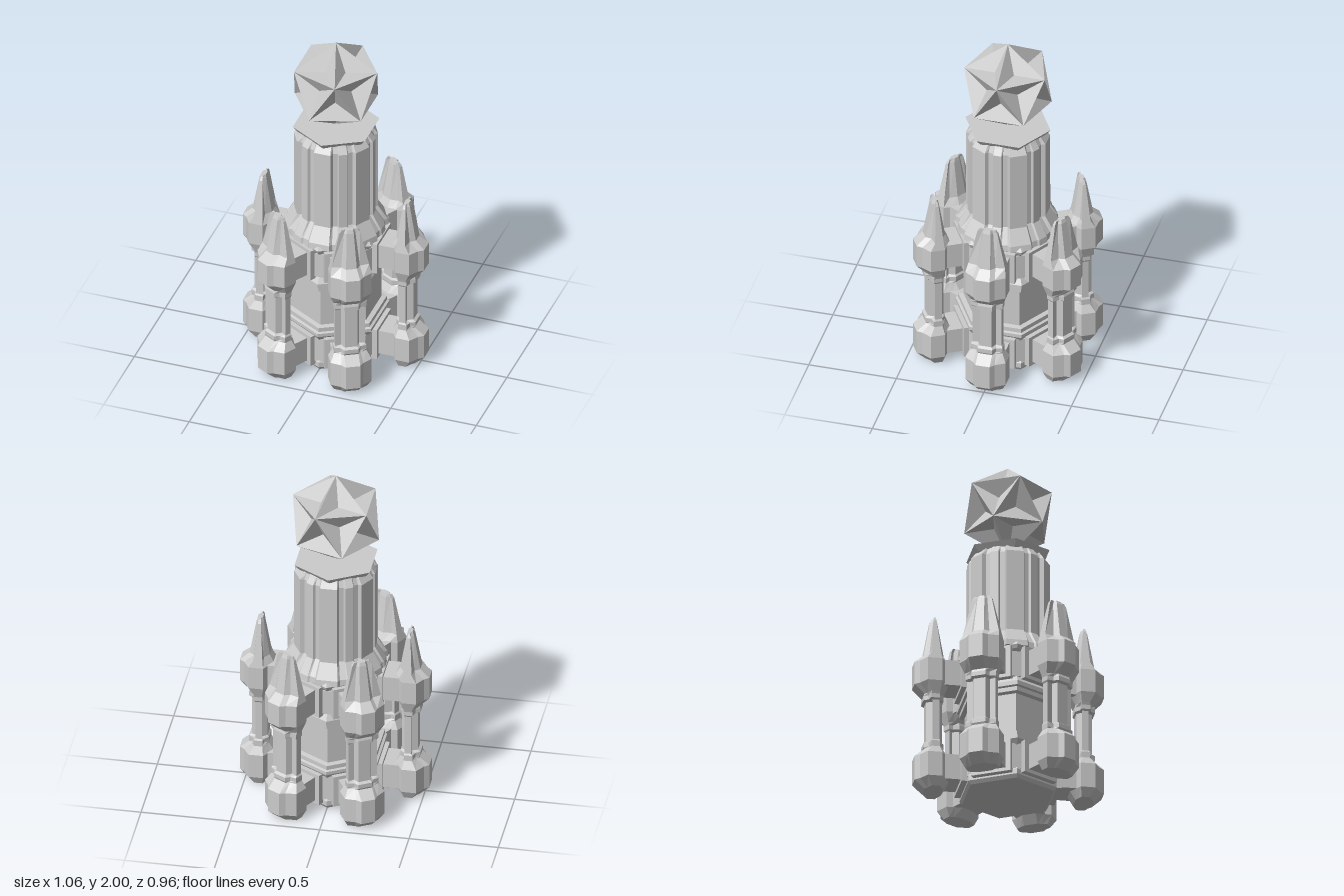
import * as THREE from 'three';

const mat = new THREE.MeshStandardMaterial({ color: 0xcccccc, flatShading: true });

function mesh(geometry, name, x = 0, y = 0, z = 0) {
  const m = new THREE.Mesh(geometry, mat);
  m.name = name;
  m.position.set(x, y, z);
  return m;
}

function fromTriangles(pts) {
  const g = new THREE.BufferGeometry().setFromPoints(pts);
  g.computeVertexNormals();
  return g;
}

// Skin a stack of closed loops (ordered from +x towards +z) and cap both ends
function loft(loops) {
  const tris = [];
  const n = loops[0].length;
  const centre = (l) => l.reduce((s, p) => s.add(p), new THREE.Vector3()).divideScalar(n);
  const bottom = loops[0], top = loops[loops.length - 1];
  const cb = centre(bottom), ct = centre(top);
  for (let i = 0; i < n; i++) {
    const j = (i + 1) % n;
    for (let k = 0; k + 1 < loops.length; k++) {
      const a = loops[k], b = loops[k + 1];
      tris.push(a[i], b[i], a[j], a[j], b[i], b[j]);
    }
    tris.push(cb, bottom[i], bottom[j], ct, top[j], top[i]);
  }
  return fromTriangles(tris);
}

// Faceted pod section: inner/outer radius, half width, outer flat half width, groove depth
function podLoop([y, ri, ro, w, wo, g]) {
  const so = ro - (ro - ri) * 0.32, si = ri + (ro - ri) * 0.25;
  const half = [
    [ro, wo],
    [ro + (so - ro) * 0.45 - g, wo + (w - wo) * 0.3],
    [so, w],
    [si, w],
    [ri + (si - ri) * 0.5 + g, wo + (w - wo) * 0.5],
    [ri, wo],
  ];
  const mirrored = half.map(([x, z]) => [x, -z]).reverse();
  return [...half, ...mirrored].map(([x, z]) => new THREE.Vector3(x, y, z));
}

// Fluted column section: six corner ribs and six face ribs with grooves between
function flutedLoop([y, r, groove]) {
  const rib = [[-12, 1], [12, 1], [15, groove], [22, groove], [24, 0.97], [36, 0.97], [38, groove], [45, groove]];
  const loop = [];
  for (let k = 0; k < 6; k++) {
    for (const [deg, f] of rib) {
      const t = THREE.MathUtils.degToRad(30 + 60 * k + deg);
      loop.push(new THREE.Vector3(r * f * Math.cos(t), y, r * f * Math.sin(t)));
    }
  }
  return loop;
}

// Icosahedron with every face dented towards the centre
function starOrb(R, dent) {
  const tris = [];
  const ring = (offset, y) => Array.from({ length: 5 }, (_, k) => {
    const t = (k * 72 + offset) * Math.PI / 180;
    return new THREE.Vector3(0.894 * R * Math.cos(t), y, 0.894 * R * Math.sin(t));
  });
  const u = ring(0, 0.447 * R), l = ring(36, -0.447 * R);
  const T = new THREE.Vector3(0, R, 0), B = new THREE.Vector3(0, -R, 0);
  const dented = (a, b, c) => {
    const m = a.clone().add(b).add(c).setLength(R * dent);
    tris.push(a, b, m, b, c, m, c, a, m);
  };
  for (let k = 0; k < 5; k++) {
    const j = (k + 1) % 5;
    dented(T, u[j], u[k]);
    dented(l[k], u[k], u[j]);
    dented(u[j], l[j], l[k]);
    dented(B, l[k], l[j]);
  }
  return fromTriangles(tris);
}

export function createModel() {
  const model = new THREE.Group();
  model.name = 'tower';

  // Hexagonal core with recessed middle and stepped rings
  const profile = [
    [0, 0], [0.27, 0], [0.285, 0.02], [0.285, 0.05], [0.27, 0.07], [0.27, 0.19],
    [0.285, 0.21], [0.3, 0.23], [0.3, 0.25], [0.285, 0.255], [0.285, 0.28], [0.255, 0.285],
    [0.255, 0.52], [0.285, 0.525], [0.285, 0.55], [0.3, 0.555], [0.3, 0.58], [0.285, 0.6],
    [0.27, 0.62], [0.27, 0.76], [0.29, 0.78], [0.3, 0.8], [0.285, 0.82], [0, 0.82],
  ].map(([r, y]) => new THREE.Vector2(r, y));
  model.add(mesh(new THREE.LatheGeometry(profile, 6), 'core'));

  // Flared shoulder and fluted column
  model.add(mesh(loft([
    [0.8, 0.29, 0.94], [0.835, 0.285, 0.94], [0.92, 0.232, 0.91],
    [1.4, 0.232, 0.91], [1.43, 0.21, 0.94], [1.445, 0.2, 0.96],
  ].map(flutedLoop)), 'column'));

  // Flared hexagonal cap and the orb resting on it
  model.add(mesh(new THREE.CylinderGeometry(0.243, 0.215, 0.035, 6), 'cap', 0, 1.45, 0));
  model.add(mesh(starOrb(0.27, 0.5625), 'orb', 0, 1.73, 0));

  const pod = loft([
    [0, 0.37, 0.475, 0.09, 0.04, 0],
    [0.05, 0.34, 0.53, 0.115, 0.04, 0],
    [0.195, 0.34, 0.53, 0.115, 0.04, 0],
    [0.24, 0.37, 0.475, 0.09, 0.04, 0],
    [0.25, 0.368, 0.48, 0.09, 0.04, 0.01],
    [0.275, 0.368, 0.48, 0.09, 0.04, 0.01],
    [0.285, 0.376, 0.465, 0.084, 0.035, 0.02],
    [0.525, 0.376, 0.465, 0.084, 0.035, 0.02],
    [0.535, 0.368, 0.48, 0.09, 0.04, 0.01],
    [0.56, 0.368, 0.48, 0.09, 0.04, 0.01],
    [0.575, 0.37, 0.475, 0.095, 0.04, 0],
    [0.63, 0.34, 0.53, 0.115, 0.04, 0],
    [0.765, 0.34, 0.53, 0.115, 0.04, 0],
    [0.81, 0.365, 0.478, 0.105, 0.03, 0.012],
    [1.02, 0.4, 0.44, 0.058, 0.02, 0.012],
    [1.04, 0.405, 0.432, 0.045, 0.015, 0.008],
  ].map(podLoop));

  // Six pods, each tied to the core by two struts with mounting plates
  for (let k = 0; k < 6; k++) {
    const arm = new THREE.Group();
    arm.name = 'podArm';
    arm.rotation.y = k * Math.PI / 3;
    arm.add(mesh(pod, 'pod'));
    for (const y of [0.125, 0.695]) {
      arm.add(mesh(new THREE.BoxGeometry(0.16, 0.15, 0.17), 'strut', 0.3, y, 0));
      arm.add(mesh(new THREE.BoxGeometry(0.06, 0.19, 0.23), 'mountingPlate', 0.25, y, 0));
    }
    model.add(arm);

    // Corner posts on the lower and upper core between the pods
    const corner = new THREE.Group();
    corner.name = 'cornerPosts';
    corner.rotation.y = (k + 0.5) * Math.PI / 3;
    for (const y of [0.13, 0.69]) {
      corner.add(mesh(new THREE.BoxGeometry(0.06, 0.15, 0.1), 'cornerPost', 0.245, y, 0));
    }
    model.add(corner);
  }
  return model;
}
